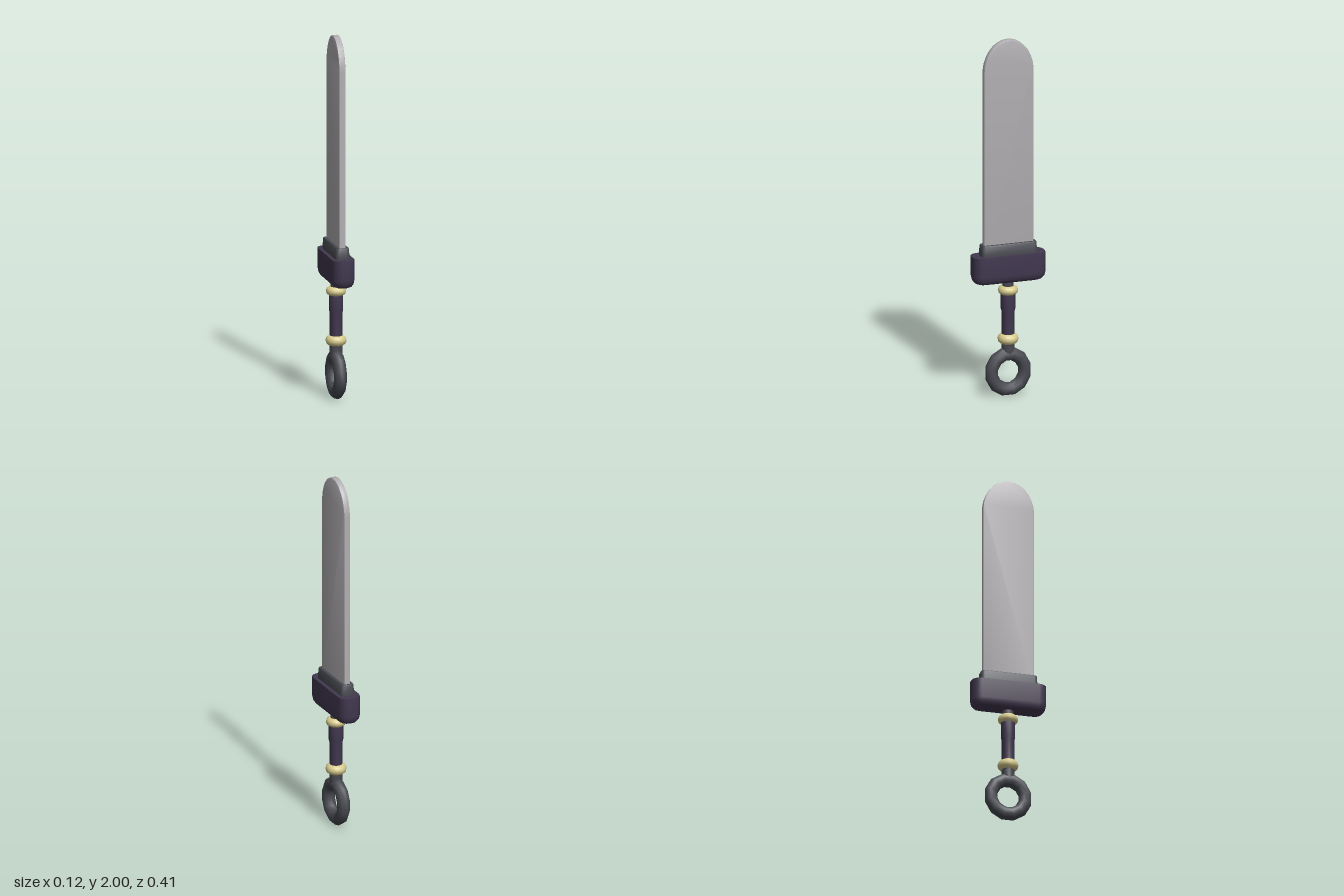
import * as THREE from 'three';
import { toCreasedNormals } from 'three/addons/utils/BufferGeometryUtils.js';

const material = (name, color) => {
  const m = new THREE.MeshStandardMaterial({ color });
  m.name = name;
  return m;
};

// Stacks rounded rectangles [y, half width x, half width z, corner radius]
function loft(sections, steps = 3) {
  const positions = [], index = [], count = 4 * (steps + 1);
  for (const [y, hx, hz, r] of sections) {
    for (let q = 0; q < 4; q++) {
      const sx = q === 0 || q === 3 ? 1 : -1, sz = q < 2 ? 1 : -1;
      for (let k = 0; k <= steps; k++) {
        const a = (q + k / steps) * Math.PI / 2;
        positions.push(sx * (hx - r) + r * Math.cos(a), y, sz * (hz - r) + r * Math.sin(a));
      }
    }
  }
  for (let i = 0; i < sections.length - 1; i++) {
    for (let j = 0; j < count; j++) {
      const a = i * count + j, b = i * count + (j + 1) % count;
      index.push(a, a + count, b, b, a + count, b + count);
    }
  }
  const g = new THREE.BufferGeometry();
  g.setAttribute('position', new THREE.Float32BufferAttribute(positions, 3));
  g.setIndex(index);
  return toCreasedNormals(g, 0.8);
}

// Turned part from [radius, y] points
const turned = (points, sides = 16) =>
  toCreasedNormals(new THREE.LatheGeometry(points.map(([r, y]) => new THREE.Vector2(r, y)), sides), 0.8);

export function createModel() {
  const group = new THREE.Group();
  const blade = material('blade steel', 0xb2afb2);
  const purple = material('dark purple', 0x423850);
  const iron = material('dark iron', 0x474950);
  const gold = material('pale gold', 0xd8cc8e);
  const add = (name, geometry, mat) => {
    const mesh = new THREE.Mesh(geometry, mat);
    mesh.name = name;
    group.add(mesh);
    return mesh;
  };

  // Flat blade with a rounded tip and narrow bevels
  const bevel = 0.006, half = 0.141 - bevel, tip = 2 - bevel;
  const outline = new THREE.Shape();
  outline.moveTo(-half, 0.8);
  outline.lineTo(half, 0.8);
  outline.lineTo(half, 1.82);
  outline.absellipse(0, 1.82, half, tip - 1.82, 0, Math.PI, false);
  outline.closePath();
  const bladeGeometry = new THREE.ExtrudeGeometry(outline, {
    depth: 0.024, bevelEnabled: true, bevelSize: bevel, bevelThickness: bevel, bevelSegments: 2, curveSegments: 20,
  });
  bladeGeometry.translate(0, 0, -0.012).rotateY(Math.PI / 2);
  add('blade', toCreasedNormals(bladeGeometry, 0.6), blade);

  // Collar at the root of the blade
  add('collar', loft([
    [0.78, 0.04, 0.158, 0.02], [0.81, 0.04, 0.158, 0.02],
    [0.855, 0.036, 0.155, 0.018], [0.86, 0.033, 0.152, 0.016], [0.86, 0, 0, 0],
  ]), iron);

  // Guard with a rounded underside
  add('guard', loft([
    [0.643, 0, 0, 0], [0.643, 0.03, 0.17, 0.03], [0.651, 0.047, 0.189, 0.04], [0.667, 0.057, 0.201, 0.045],
    [0.69, 0.061, 0.206, 0.047], [0.8, 0.061, 0.206, 0.047], [0.8, 0, 0, 0],
  ]), purple);

  // Neck rod, grip and lower neck
  add('upperNeck', turned([[0.03, 0.55], [0.03, 0.65]]), iron);
  add('grip', turned([[0, 0.29], [0.034, 0.29], [0.034, 0.47], [0.039, 0.49], [0.039, 0.58], [0, 0.58]]), purple);
  add('lowerNeck', turned([[0.034, 0.24], [0.034, 0.3]]), iron);

  // Gold beads at both ends of the grip
  for (const [name, y, radius, h] of [['upperBead', 0.595, 0.055, 0.024], ['lowerBead', 0.323, 0.057, 0.027]]) {
    add(name, turned([
      [0, y - h], [radius * 0.68, y - h], [radius * 0.92, y - h * 0.6], [radius, y],
      [radius * 0.92, y + h * 0.6], [radius * 0.68, y + h], [0, y + h],
    ]), gold);
  }

  // Ring pommel
  const ring = new THREE.TorusGeometry(0.096, 0.036, 10, 12);
  ring.rotateZ(Math.PI / 12).scale(1, 1.04, 0.97).rotateY(Math.PI / 2);
  add('ringPommel', ring, iron).position.y = 0.137;

  return group;
}
